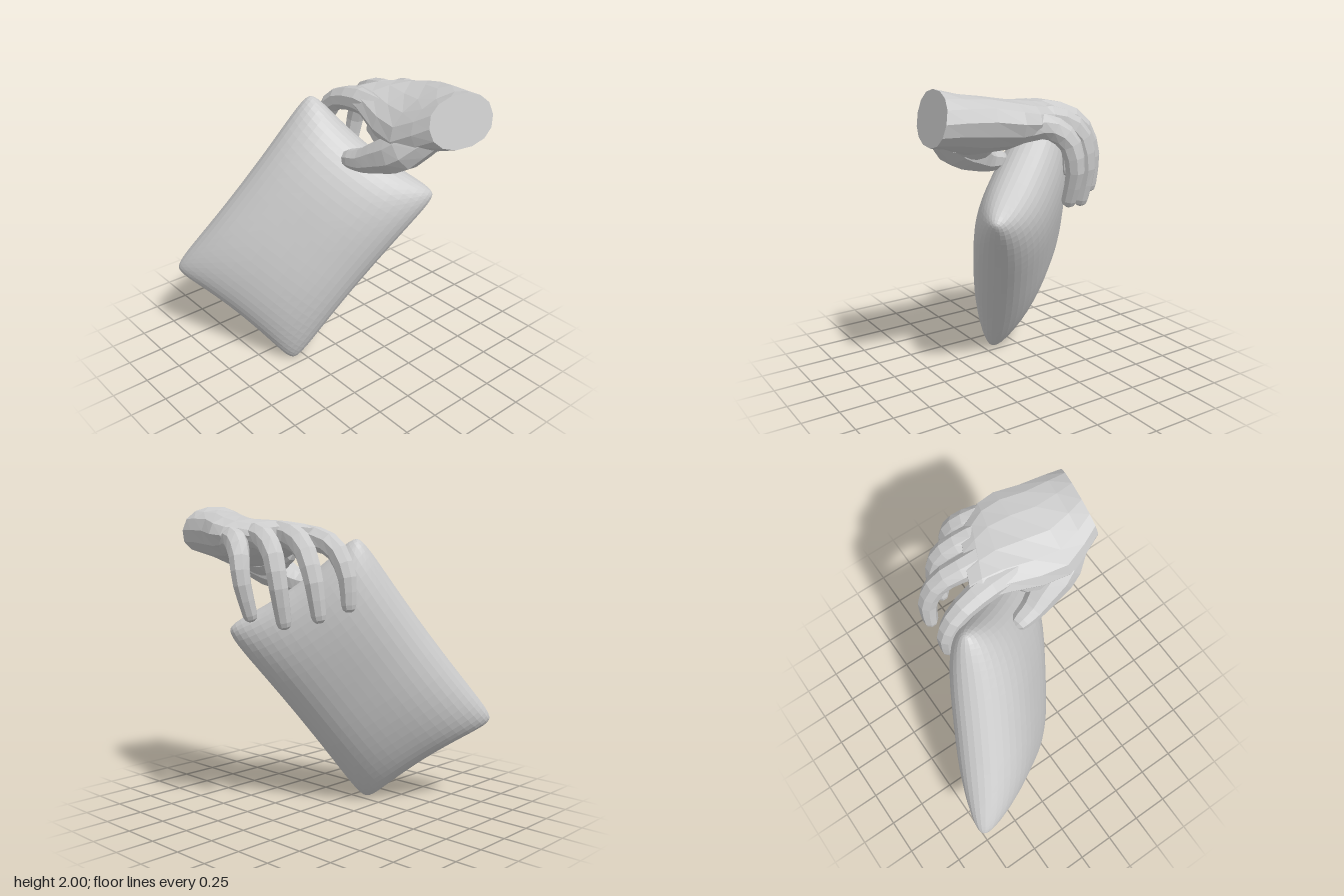
import * as THREE from 'three';
import { mergeGeometries } from 'three/addons/utils/BufferGeometryUtils.js';

const V = (x, y, z) => new THREE.Vector3(x, y, z);
const material = new THREE.MeshStandardMaterial({ color: 0xcccccc, flatShading: true });

function part(name, geometry) {
  const mesh = new THREE.Mesh(geometry, material);
  mesh.name = name;
  return mesh;
}

// Skin a closed surface over rings of points, with a flat cap at both ends
function loft(rings) {
  const n = rings[0].length;
  const points = rings.flat();
  const index = [];
  for (let i = 0; i < rings.length - 1; i++) {
    for (let j = 0; j < n; j++) {
      const a = i * n + j, b = i * n + (j + 1) % n;
      index.push(a, b, b + n, a, b + n, a + n);
    }
  }
  const last = (rings.length - 1) * n;
  for (let j = 1; j < n - 1; j++) {
    index.push(0, j + 1, j);
    index.push(last, last + j, last + j + 1);
  }
  const geometry = new THREE.BufferGeometry().setFromPoints(points);
  geometry.setIndex(index);
  geometry.computeVertexNormals();
  return geometry;
}

// Tapered round limb through [x, y, z, radius] joints, with a rounded tip
function limb(joints, steps = 9, sides = 8) {
  const curve = new THREE.CatmullRomCurve3(joints.map(j => V(j[0], j[1], j[2])));
  const rings = [];
  const ring = (c, t, r) => {
    const s = V(0, 0, 1).addScaledVector(t, -t.z).normalize();
    const n = t.clone().cross(s);
    rings.push(Array.from({ length: sides }, (_, k) => {
      const a = (k + 0.5) / sides * Math.PI * 2;
      return c.clone().addScaledVector(s, r * Math.cos(a)).addScaledVector(n, r * Math.sin(a));
    }));
  };
  for (let i = 0; i <= steps; i++) {
    const f = i / steps * (joints.length - 1);
    const k = Math.min(Math.floor(f), joints.length - 2);
    const r = THREE.MathUtils.lerp(joints[k][3], joints[k + 1][3], f - k);
    const t = f / (joints.length - 1);
    ring(curve.getPoint(t), curve.getTangent(t), r);
  }
  const tip = curve.getPoint(1), dir = curve.getTangent(1), r = joints.at(-1)[3];
  for (const a of [0.6, 1.15]) {
    ring(tip.clone().addScaledVector(dir, r * Math.sin(a)), dir, r * Math.cos(a));
  }
  return loft(rings);
}

// Stuffed cushion: two puffed sheets meeting along a seam with blunt corners
function cushionGeometry() {
  const sheets = [0, Math.PI].map(turn => {
    const sheet = new THREE.PlaneGeometry(2, 2, 22, 30).rotateY(turn);
    const p = sheet.attributes.position;
    for (let i = 0; i < p.count; i++) {
      const u = Math.sin(THREE.MathUtils.clamp(p.getX(i), -1, 1) * Math.PI / 2);
      const v = Math.sin(THREE.MathUtils.clamp(p.getY(i), -1, 1) * Math.PI / 2);
      const puff = 0.254 * Math.max(0, 1 - Math.abs(u) ** 2.6) ** 0.47
        * Math.max(0, 1 - Math.abs(v) ** (v < 0 ? 2.6 : 3.2)) ** 0.45;
      const blunt = 1.045 - 0.06 * Math.abs(u * v) ** 9;
      p.setXYZ(i, u * (blunt - 0.05 * (1 - v * v)), v * (blunt - 0.075 * (1 - u * u)),
        turn ? -puff : puff);
    }
    return sheet;
  });
  const across = V(0.36, -0.3, -0.233), along = V(0.24, 0.607, -0.412);
  const normal = across.clone().cross(along).normalize();
  const pose = new THREE.Matrix4().makeBasis(across, along, normal).setPosition(-0.19, 0.89, 0.14);
  const geometry = mergeGeometries(sheets).applyMatrix4(pose);
  geometry.computeVertexNormals();
  return geometry;
}

// Palm sections from the cut wrist to the knuckles:
// centre x, y, z, half height, half width, x shear by y, x shear by z, y shear by z
function palmGeometry() {
  const sections = [
    [0.735, 1.84, -0.35, 0.16, 0.235, -0.22, -0.15, 0],
    [0.62, 1.81, -0.345, 0.16, 0.27, -0.15, -0.1, -0.12],
    [0.47, 1.77, -0.345, 0.17, 0.305, -0.1, -0.05, -0.22],
    [0.3, 1.77, -0.39, 0.15, 0.32, 0, -0.1, -0.15],
    [0.14, 1.795, -0.42, 0.115, 0.29, 0, -0.3, -0.05],
    [0.03, 1.812, -0.41, 0.086, 0.25, 0, -0.45, 0],
    [-0.06, 1.805, -0.4, 0.06, 0.21, 0, -0.45, 0]
  ];
  return loft(sections.map(([x, y, z, hh, hw, xy, xz, yz]) =>
    Array.from({ length: 14 }, (_, k) => {
      const a = k / 14 * Math.PI * 2;
      const soft = f => Math.sign(f) * Math.abs(f) ** 0.9;
      const dz = hw * soft(Math.cos(a)), dy = hh * soft(Math.sin(a));
      return V(x + xy * dy + xz * dz, y + dy + yz * dz, z + dz);
    })));
}

export function createModel() {
  const model = new THREE.Group();
  model.name = 'handHoldingCushion';
  model.add(part('cushion', cushionGeometry()));

  const hand = new THREE.Group();
  hand.name = 'hand';
  hand.add(part('palm', palmGeometry()));

  // Digits: joints from the palm out to the tip
  const digits = {
    thumb: [[0.63, 1.77, -0.24, 0.1], [0.45, 1.615, -0.145, 0.135], [0.31, 1.545, -0.1, 0.108],
      [0.2, 1.495, -0.065, 0.082], [0.1, 1.475, -0.045, 0.065]],
    thumbWeb: [[0.52, 1.74, -0.26, 0.14], [0.34, 1.65, -0.19, 0.12], [0.22, 1.69, -0.17, 0.08]],
    indexFinger: [[0.2, 1.77, -0.24, 0.1], [-0.04, 1.795, -0.22, 0.085], [-0.25, 1.735, -0.2, 0.07],
      [-0.35, 1.57, -0.19, 0.062], [-0.36, 1.385, -0.18, 0.05]],
    middleFinger: [[0.2, 1.79, -0.4, 0.095], [-0.02, 1.815, -0.39, 0.085], [-0.22, 1.74, -0.435, 0.073],
      [-0.32, 1.55, -0.45, 0.063], [-0.34, 1.335, -0.425, 0.05]],
    ringFinger: [[0.24, 1.79, -0.51, 0.09], [0.04, 1.805, -0.545, 0.08], [-0.11, 1.72, -0.59, 0.07],
      [-0.175, 1.52, -0.6, 0.062], [-0.175, 1.295, -0.555, 0.05]],
    littleFinger: [[0.32, 1.77, -0.58, 0.085], [0.16, 1.785, -0.65, 0.077], [0.05, 1.705, -0.71, 0.067],
      [0.005, 1.54, -0.73, 0.058], [0.0, 1.335, -0.67, 0.047]]
  };
  for (const [name, joints] of Object.entries(digits)) hand.add(part(name, limb(joints)));

  model.add(hand);
  return model;
}
